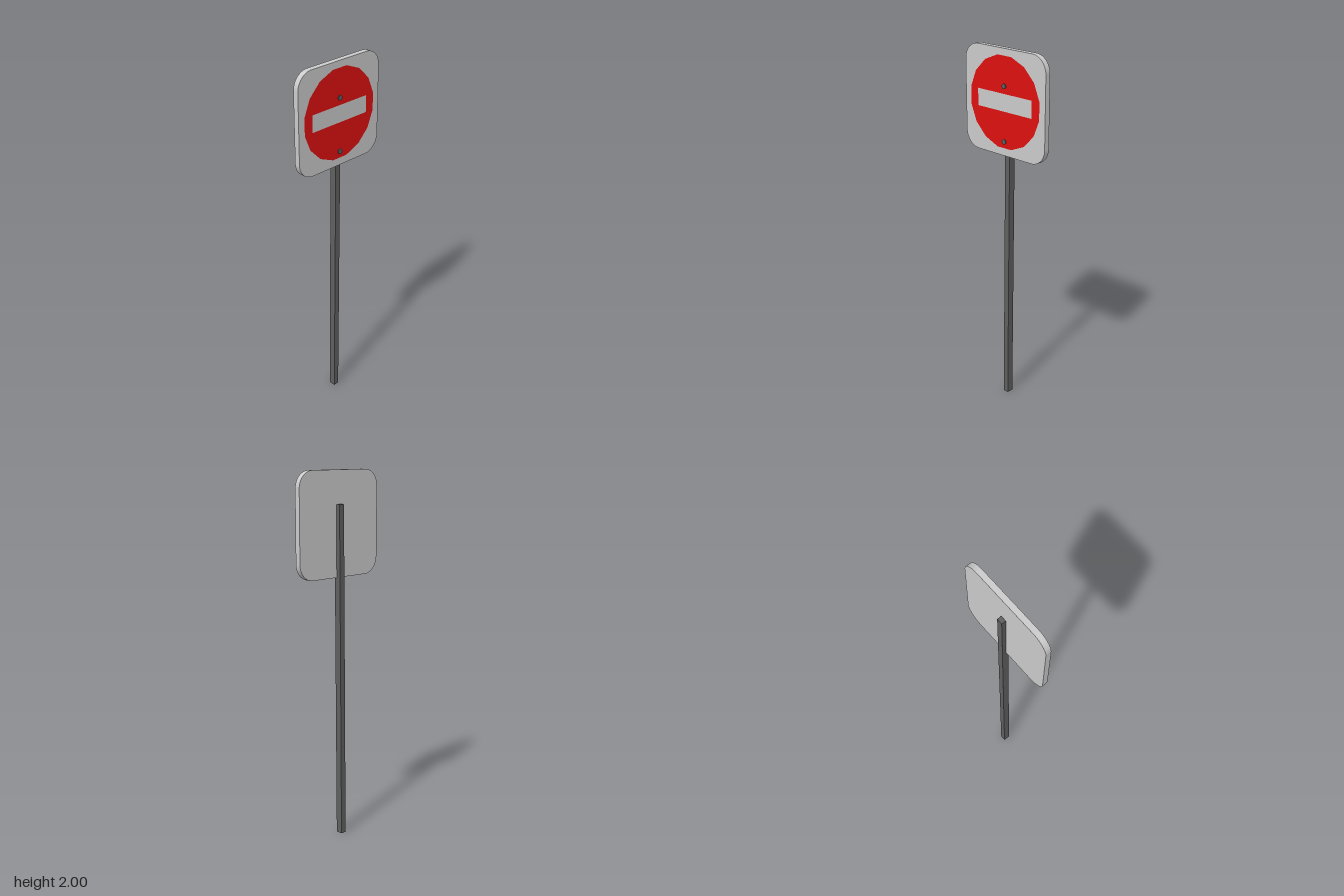
import * as THREE from 'three';
import { toCreasedNormals } from 'three/addons/utils/BufferGeometryUtils.js';

const CENTER_Y = 1.7225;

export function createModel() {
  const model = new THREE.Group();
  model.name = 'roadSign';

  const grey = new THREE.MeshStandardMaterial({ color: 0xcccccc });
  const red = new THREE.MeshStandardMaterial({ color: 0xe01010 });
  const dark = new THREE.MeshStandardMaterial({ color: 0x606060 });

  const add = (name, geometry, material, x, y, z) => {
    const mesh = new THREE.Mesh(geometry, material);
    mesh.name = name;
    mesh.position.set(x, y, z);
    model.add(mesh);
    return mesh;
  };

  // Rounded square plate
  const h = 0.278, r = 0.09;
  const outline = new THREE.Shape();
  outline.absarc(h - r, h - r, r, 0, Math.PI / 2);
  outline.absarc(-h + r, h - r, r, Math.PI / 2, Math.PI);
  outline.absarc(-h + r, -h + r, r, Math.PI, Math.PI * 1.5);
  outline.absarc(h - r, -h + r, r, Math.PI * 1.5, Math.PI * 2);
  outline.closePath();
  const plate = new THREE.ExtrudeGeometry(outline, { depth: 0.031, bevelEnabled: false, curveSegments: 8 });
  add('plate', toCreasedNormals(plate, 0.6), grey, 0, CENTER_Y, -0.007);

  // Sixteen-sided red disc with the bar left open so the plate shows through
  const corners = Array.from({ length: 16 }, (_, i) => {
    const a = ((i + 0.5) / 16) * Math.PI * 2;
    return new THREE.Vector2(Math.cos(a), Math.sin(a)).multiplyScalar(0.244);
  });
  const disc = new THREE.Shape(corners);
  const bx = 0.188, by = 0.046;
  disc.holes.push(new THREE.Path([
    new THREE.Vector2(-bx, -by), new THREE.Vector2(-bx, by),
    new THREE.Vector2(bx, by), new THREE.Vector2(bx, -by),
  ]));
  add('redDisc', new THREE.ShapeGeometry(disc), red, 0, CENTER_Y + 0.002, 0.0246);

  // Square post leaning slightly sideways
  const postHeight = 1.825;
  const post = new THREE.BoxGeometry(0.032, postHeight, 0.038);
  const p = post.attributes.position;
  for (let i = 0; i < p.count; i++) p.setX(i, p.getX(i) + (p.getY(i) / postHeight) * 0.016);
  post.computeVertexNormals();
  add('post', post, dark, 0, postHeight / 2, -0.012);

  // Bolts through the plate
  for (const y of [1.81, 1.52]) {
    const bolt = new THREE.CylinderGeometry(0.014, 0.014, 0.016, 8);
    bolt.rotateX(Math.PI / 2);
    add('bolt', toCreasedNormals(bolt, 0.9), dark, 0, y, 0.022);
  }

  return model;
}
